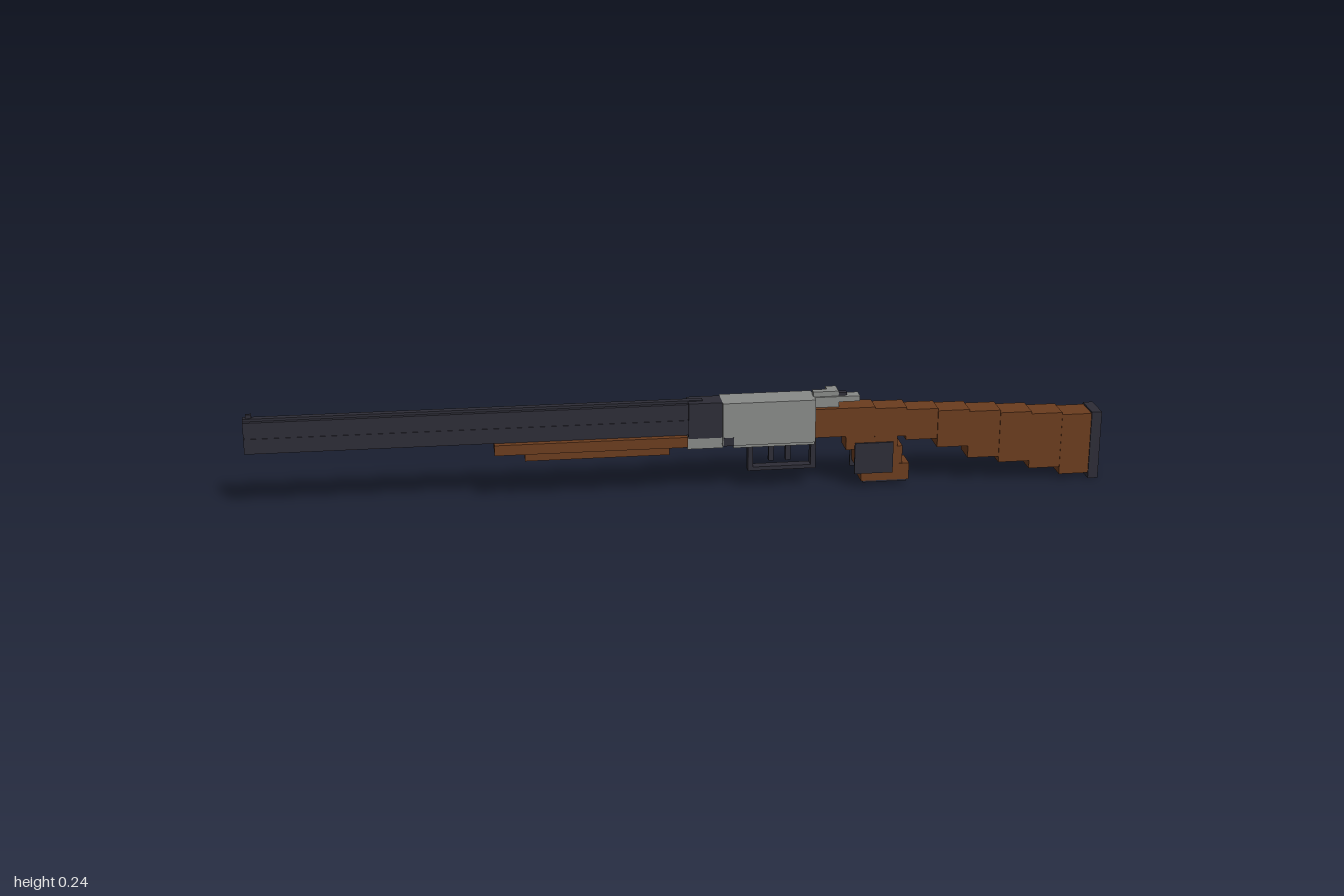
import * as THREE from 'three';

export function createModel() {
  const model = new THREE.Group();
  model.name = 'doubleBarrelGun';
  const mat = (name, color) => Object.assign(new THREE.MeshStandardMaterial({ color }), { name });
  const dark = mat('blued steel', 0x2d2c36);
  const grey = mat('bare steel', 0x888a88);
  const wood = mat('walnut', 0x6b3c1e);

  // Box given by its extents along x, y and z
  function box(name, material, x0, x1, y0, y1, z0, z1) {
    const mesh = new THREE.Mesh(new THREE.BoxGeometry(x1 - x0, y1 - y0, z1 - z0), material);
    mesh.position.set((x0 + x1) / 2, (y0 + y1) / 2, (z0 + z1) / 2);
    mesh.name = name;
    model.add(mesh);
  }
  const mid = (name, material, x0, x1, y0, y1, w) => box(name, material, x0, x1, y0, y1, -w, w);

  // Stacked barrels, joining web, top rib and bead
  mid('lowerBarrel', dark, -1, 0.02, 0.147, 0.183, 0.018);
  mid('barrelWeb', dark, -0.998, 0.02, 0.183, 0.187, 0.0165);
  mid('upperBarrel', dark, -1, 0.02, 0.187, 0.222, 0.018);
  mid('topRib', dark, -1, 0.05, 0.222, 0.228, 0.008);
  mid('frontSight', dark, -0.993, -0.98, 0.228, 0.237, 0.004);
  mid('breechBlock', dark, 0.015, 0.096, 0.14, 0.226, 0.026);

  // Forearm
  mid('forearm', wood, -0.435, 0.012, 0.122, 0.147, 0.033);
  mid('forearmBelly', wood, -0.365, -0.03, 0.103, 0.122, 0.025);
  mid('forearmLatch', dark, -0.22, -0.16, 0.098, 0.103, 0.009);

  // Receiver, hinge and safety lever
  mid('hinge', grey, 0.012, 0.096, 0.114, 0.142, 0.024);
  mid('receiver', grey, 0.094, 0.312, 0.122, 0.226, 0.035);
  mid('receiverFloor', grey, 0.12, 0.312, 0.113, 0.122, 0.026);
  mid('hingePin', dark, 0.096, 0.12, 0.122, 0.142, 0.036);
  mid('tang', grey, 0.31, 0.42, 0.212, 0.225, 0.015);
  mid('tangBase', grey, 0.31, 0.37, 0.195, 0.213, 0.015);
  box('topLever', grey, 0.31, 0.365, 0.224, 0.237, -0.008, 0.01);
  box('topLeverThumb', grey, 0.345, 0.37, 0.225, 0.237, -0.03, 0.01);
  mid('safetySlide', dark, 0.365, 0.39, 0.225, 0.232, 0.007);

  // Trigger guard and triggers
  mid('guardBar', dark, 0.157, 0.318, 0.049, 0.058, 0.012);
  mid('guardFrontPost', dark, 0.157, 0.169, 0.058, 0.115, 0.012);
  mid('guardRearPost', dark, 0.306, 0.318, 0.058, 0.125, 0.012);
  for (const x of [0.207, 0.247]) mid('trigger', dark, x, x + 0.012, 0.07, 0.115, 0.006);

  // Stepped stock: start x, bottom, top, half width
  const steps = [
    [0.31, 0.13, 0.2, 0.028], [0.385, 0.128, 0.2, 0.028], [0.455, 0.125, 0.196, 0.028],
    [0.53, 0.115, 0.19, 0.028], [0.605, 0.094, 0.185, 0.031], [0.68, 0.064, 0.18, 0.031],
    [0.755, 0.05, 0.174, 0.033], [0.83, 0.031, 0.168, 0.033], [0.905, 0.013, 0.163, 0.034],
  ];
  steps.forEach(([x, bottom, top, w], i) => {
    const end = i + 1 < steps.length ? steps[i + 1][0] : 0.977;
    mid('stockSection', wood, x, end, bottom, top, w);
  });
  mid('buttPad', dark, 0.976, 1, 0, 0.167, 0.037);

  // Pistol grip with side panels
  mid('gripShoulder', wood, 0.387, 0.51, 0.096, 0.13, 0.027);
  mid('gripNeck', wood, 0.412, 0.523, 0.053, 0.1, 0.026);
  mid('gripFoot', wood, 0.425, 0.54, 0.016, 0.056, 0.027);
  mid('gripCap', dark, 0.43, 0.535, 0.011, 0.016, 0.024);
  for (const s of [-1, 1]) {
    const z = s * 0.0285;
    box('gripPanel', dark, 0.408, 0.5, 0.036, 0.112, z - 0.003, z + 0.003);
  }
  return model;
}
